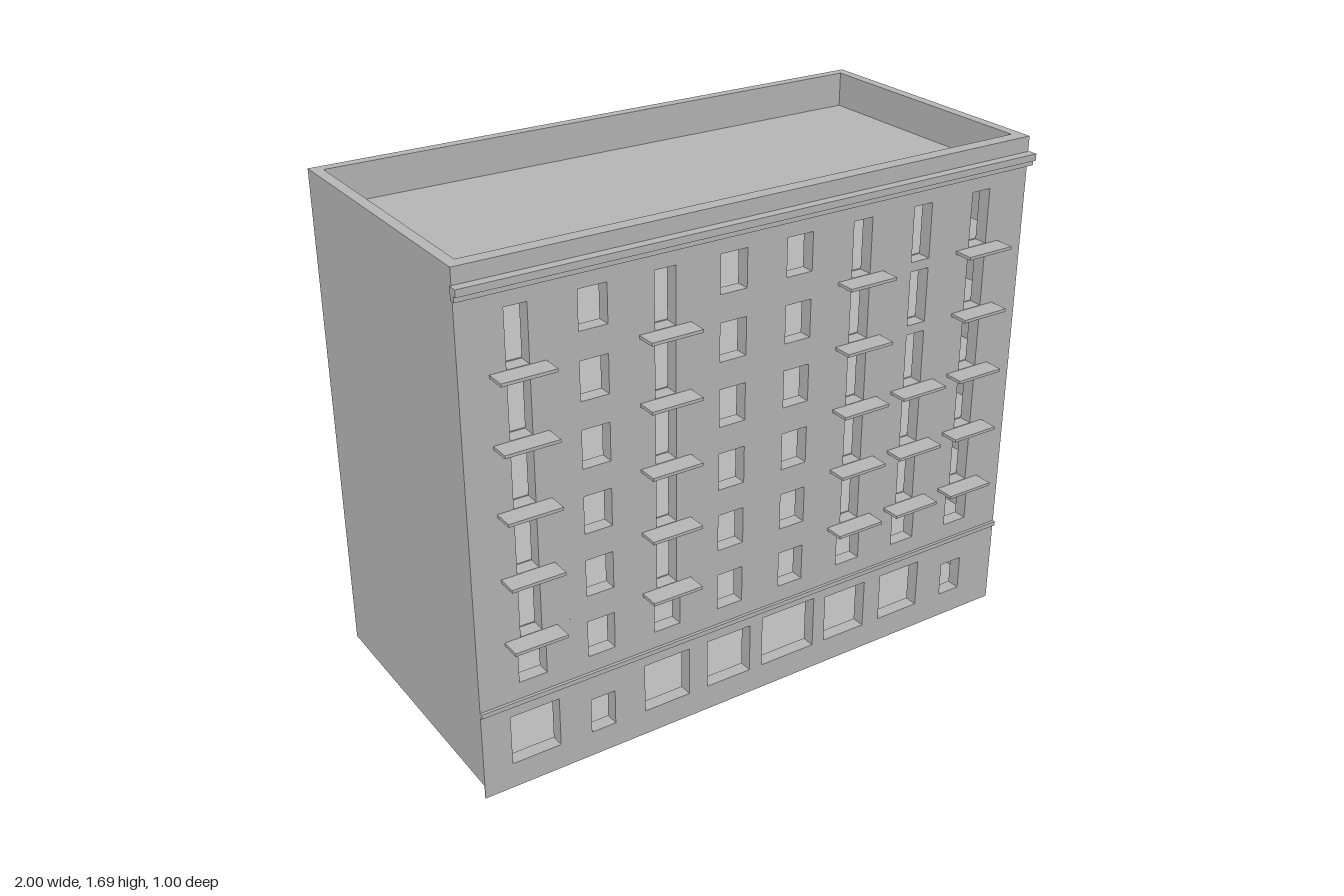
import * as THREE from 'three';

export function createModel() {
  const group = new THREE.Group();
  const grey = new THREE.MeshStandardMaterial({ color: 0xb4b4b4, side: THREE.DoubleSide });
  grey.name = 'plainGrey';

  const HALF = 0.995, TOP = 1.69, BOTTOM = 0.045;
  const BACK = -0.5, FRONT = 0.435, WALL = 0.035, FRONT_WALL = 0.045;
  const STOREY = 0.2115;

  const add = (name, geometry) => {
    const mesh = new THREE.Mesh(geometry, grey);
    mesh.name = name;
    group.add(mesh);
    return mesh;
  };
  // box given by its limits on each axis
  const box = (name, x0, x1, y0, y1, z0, z1) =>
    add(name, new THREE.BoxGeometry(x1 - x0, y1 - y0, z1 - z0))
      .position.set((x0 + x1) / 2, (y0 + y1) / 2, (z0 + z1) / 2);

  // wall with rectangular openings [x0, x1, y0, y1]
  const wall = (name, openings, z, depth) => {
    const rect = (path, x0, x1, y0, y1) => path.moveTo(x0, y0).lineTo(x1, y0).lineTo(x1, y1).lineTo(x0, y1).closePath();
    const shape = new THREE.Shape();
    rect(shape, -HALF, HALF, BOTTOM, TOP);
    for (const o of openings) {
      const hole = new THREE.Path();
      rect(hole, ...o);
      shape.holes.push(hole);
    }
    add(name, new THREE.ExtrudeGeometry(shape, { depth, bevelEnabled: false })).position.z = z;
  };

  // window columns; tall windows are balcony doors
  const columns = [-0.817, -0.584, -0.352, -0.12, 0.113, 0.345, 0.577, 0.81];
  const tall = [0, 2, 5, 6, 7];
  const frontHoles = [], backHoles = [];
  columns.forEach((x, c) => {
    for (let r = 0; r < 6; r++) {
      const top = 0.49 + r * STOREY;
      const door = r > 0 && tall.includes(c);
      const half = door ? 0.035 : 0.046;
      frontHoles.push([x - half, x + half, top - (door ? 0.18 : 0.123), top]);
      backHoles.push([x - 0.046, x + 0.046, top - 0.123, top]);
    }
    // ground floor: shop windows, narrow doors and the main entrance
    const narrow = c === 1 || c === 7;
    const half = narrow ? 0.042 : c === 4 ? 0.103 : 0.082;
    frontHoles.push([x - half, x + half, 0.087, narrow ? 0.207 : c === 4 ? 0.268 : 0.256]);
    if (c !== 4) backHoles.push([x - 0.044, x + 0.044, 0.12, 0.207]);
  });
  wall('frontWall', frontHoles, FRONT - FRONT_WALL, FRONT_WALL);
  wall('backWall', backHoles, BACK, WALL);

  // closed side walls
  for (const s of [-1, 1]) {
    const a = s * HALF, b = s * (HALF - WALL);
    box('sideWall', Math.min(a, b), Math.max(a, b), BOTTOM, TOP, BACK + WALL, FRONT - FRONT_WALL);
  }

  // floor slabs, roof and inner spine wall
  const inX = HALF - WALL, inBack = BACK + WALL, inFront = FRONT - FRONT_WALL;
  box('groundSlab', -inX, inX, 0.03, 0.06, inBack, inFront);
  for (let r = 0; r < 6; r++) {
    const y = 0.305 + r * STOREY;
    box('floorSlab', -inX, inX, y - 0.012, y + 0.008, inBack, inFront);
  }
  box('roof', -inX, inX, 1.558, 1.575, inBack, inFront);
  box('spineWall', -inX, inX, 0.06, 1.558, -0.04, -0.03);

  // thin skirting under the facade
  box('skirting', -HALF, HALF, 0, BOTTOM, FRONT - 0.003, FRONT);

  // string course and stepped cornice
  box('stringCourse', -HALF, HALF, 0.295, 0.31, FRONT, 0.445);
  box('corniceLower', -1, 1, 1.6, 1.618, FRONT, 0.455);
  box('corniceUpper', -1, 1, 1.618, 1.64, FRONT, 0.466);

  // balcony slabs; one column stops at the third level
  for (const c of tall) {
    const levels = c === 6 ? 3 : 5;
    for (let r = 0; r < levels; r++) {
      const y = 0.515 + r * STOREY, x = columns[c];
      box('balcony', x - 0.086, x + 0.086, y - 0.005, y + 0.005, FRONT, 0.5);
    }
  }
  return group;
}
